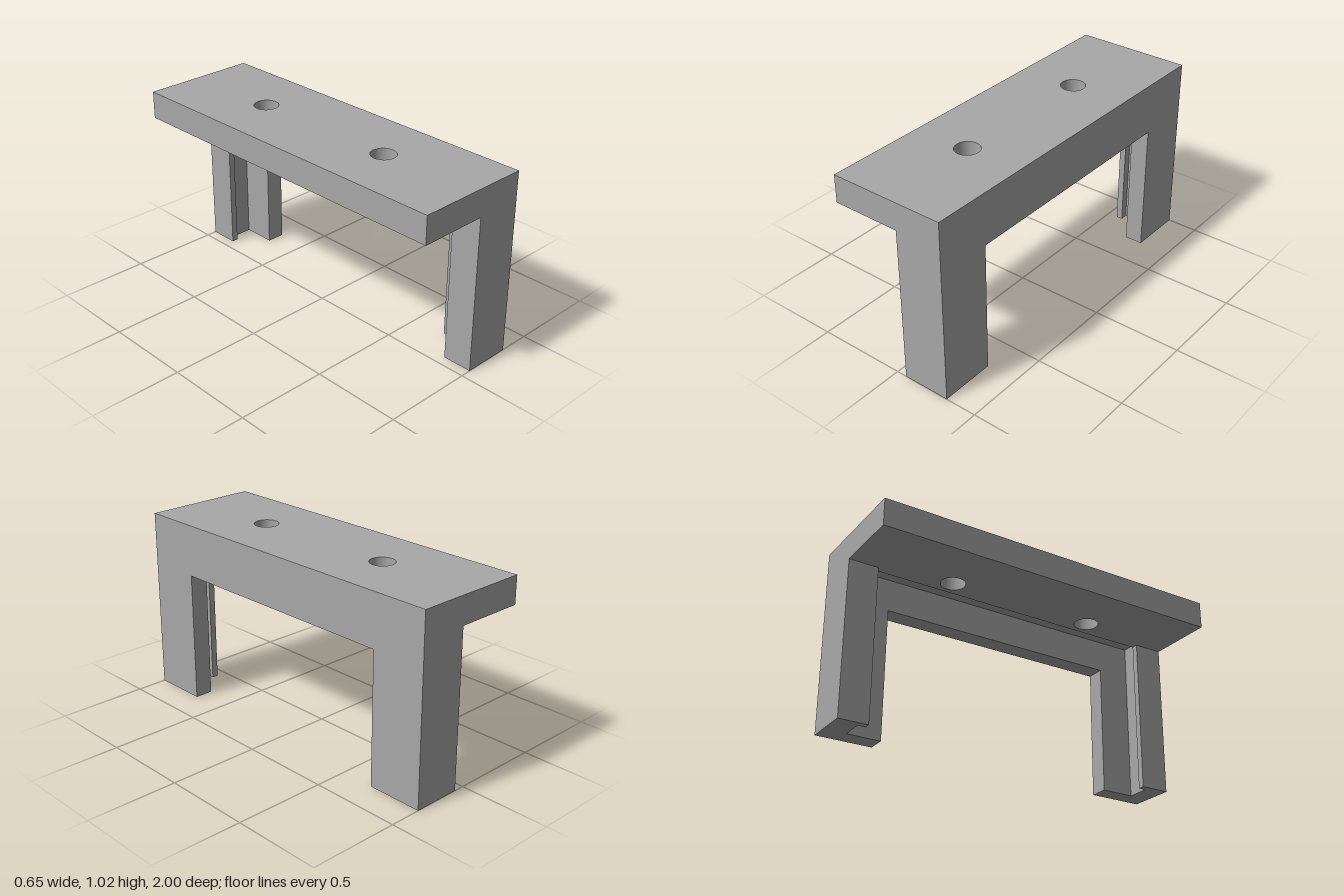
import * as THREE from 'three';

const TOP = 1.02, SLAB_Y = 0.867;

export function createModel() {
  const group = new THREE.Group();
  const grey = new THREE.MeshStandardMaterial({ color: 0xa8a8a8 });
  grey.name = 'grey';

  const add = (geometry, name) => {
    const mesh = new THREE.Mesh(geometry, grey);
    mesh.name = name;
    group.add(mesh);
    return mesh;
  };

  // Portal-shaped layer from x0 to x1: two legs joined by a beam around an opening
  const portal = (x0, x1, openZ, openY, name) => {
    const shape = new THREE.Shape([
      [-1, 0], [-openZ, 0], [-openZ, openY], [openZ, openY],
      [openZ, 0], [1, 0], [1, TOP], [-1, TOP],
    ].map(([z, y]) => new THREE.Vector2(z, y)));
    const geometry = new THREE.ExtrudeGeometry(shape, { depth: x1 - x0, bevelEnabled: false });
    geometry.rotateY(Math.PI / 2).translate(x0, 0, 0);
    add(geometry, name);
  };
  portal(0.222, 0.325, 0.69, 0.732, 'outerFrame');
  portal(0.094, 0.222, 0.878, 0.912, 'grooveFrame');

  // Top slab with two round through holes
  const slab = new THREE.Shape([
    new THREE.Vector2(-0.325, -1), new THREE.Vector2(0.094, -1),
    new THREE.Vector2(0.094, 1), new THREE.Vector2(-0.325, 1),
  ]);
  for (const z of [-0.43, 0.43]) {
    slab.holes.push(new THREE.Path().absarc(0, z, 0.067, 0, Math.PI * 2, true));
  }
  const slabGeometry = new THREE.ExtrudeGeometry(slab, {
    depth: TOP - SLAB_Y, bevelEnabled: false, curveSegments: 48,
  });
  slabGeometry.rotateX(-Math.PI / 2).translate(0, SLAB_Y, 0);
  add(slabGeometry, 'topSlab');

  // Thin lips that close the groove on the inner side of each leg
  for (const side of [-1, 1]) {
    const lip = add(new THREE.BoxGeometry(0.036, SLAB_Y, 0.165), side > 0 ? 'frontLegLip' : 'backLegLip');
    lip.position.set(0.076, SLAB_Y / 2, side * 0.9175);
  }
  return group;
}
